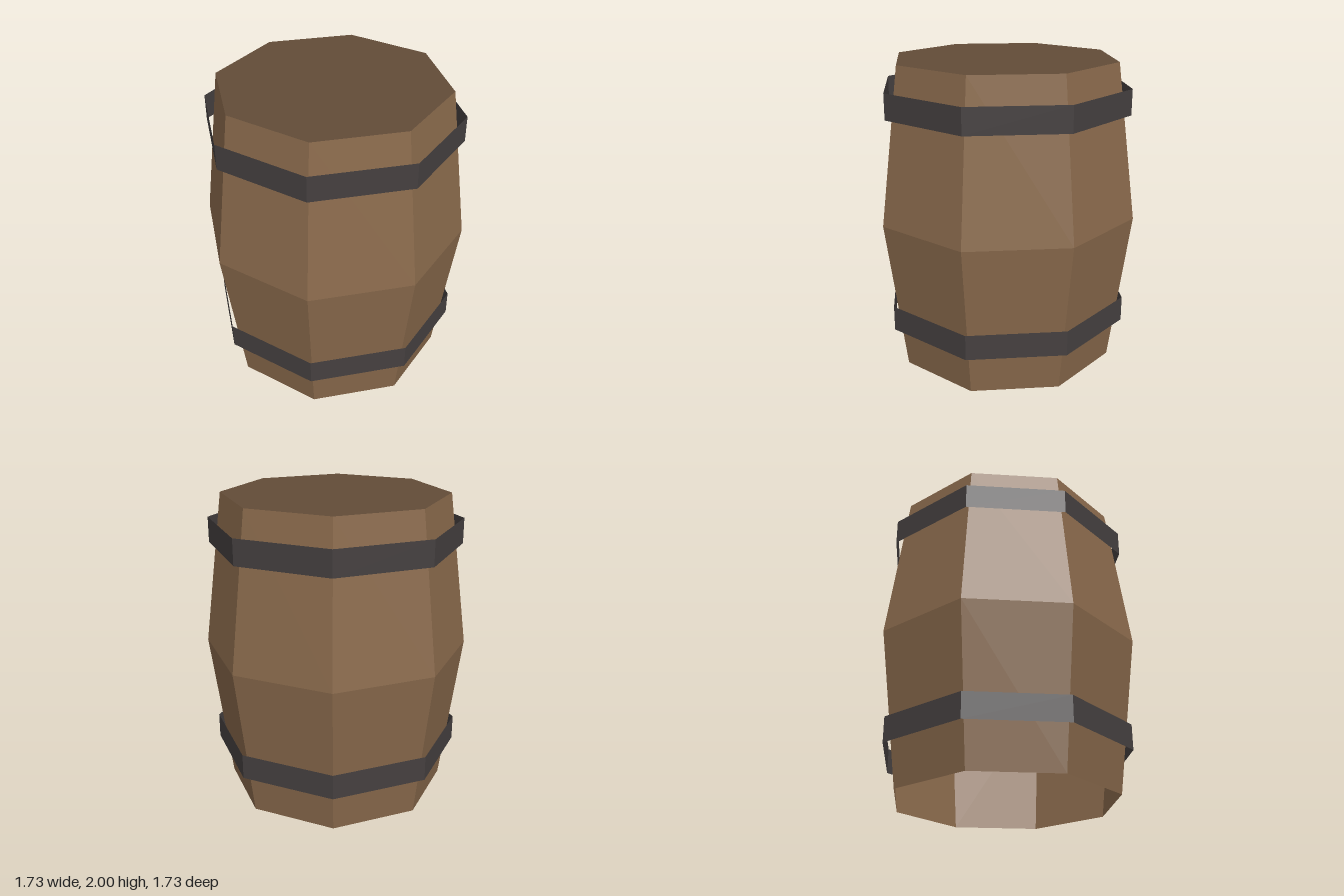
import * as THREE from 'three';

const SIDES = 8;

function material(name, color) {
  const m = new THREE.MeshStandardMaterial({ color, flatShading: true, side: THREE.DoubleSide });
  m.name = name;
  return m;
}

export function createModel() {
  const wood = material('stave wood', 0x8a6a4c);
  const lidWood = material('lid wood', 0x624c38);
  const iron = material('hoop iron', 0x454040);

  const group = new THREE.Group();
  group.name = 'barrel';
  const add = (name, geometry, mat, y = 0) => {
    const mesh = new THREE.Mesh(geometry, mat);
    mesh.name = name;
    mesh.position.y = y;
    group.add(mesh);
    return mesh;
  };

  // Bulging staves, open underneath
  const profile = [[0.733, 0], [0.865, 1], [0.733, 2]].map(([r, y]) => new THREE.Vector2(r, y));
  add('staves', new THREE.LatheGeometry(profile, SIDES), wood);

  // Flat lid flush with the rim
  const lid = new THREE.CircleGeometry(0.733, SIDES).rotateX(-Math.PI / 2);
  add('lid', lid, lidWood, 2);

  // Thin open hoops
  const hoop = new THREE.CylinderGeometry(0.82, 0.82, 0.165, SIDES, 1, true);
  add('lowerHoop', hoop, iron, 0.352);
  add('upperHoop', hoop, iron, 1.757);

  return group;
}
